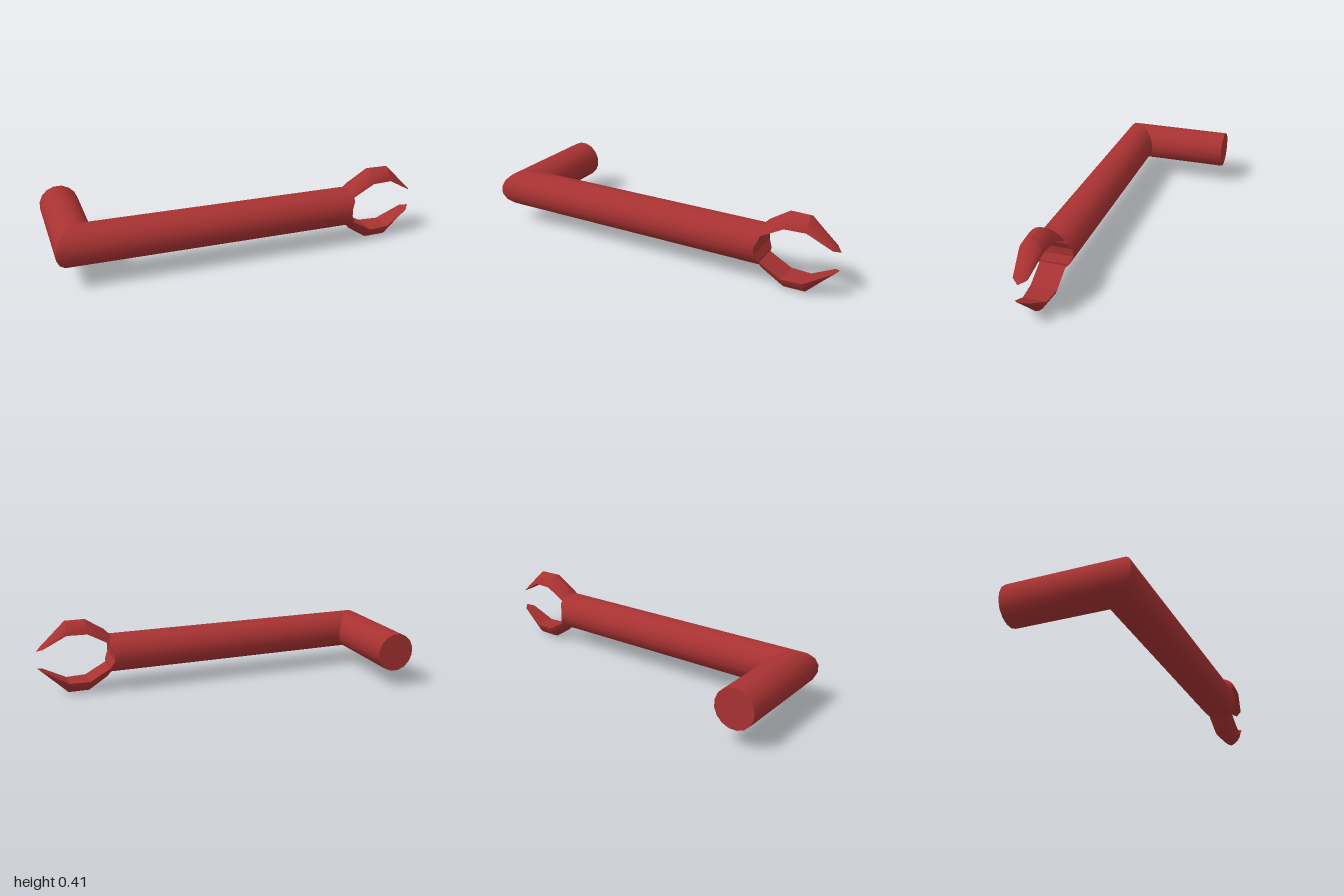
import * as THREE from 'three';
import { toCreasedNormals } from 'three/addons/utils/BufferGeometryUtils.js';

const CY = 0.205, CZ = 0.226, CX = -0.893, R = 0.107, SIDES = 16;

const toGeometry = (triangles, crease) => {
  const g = new THREE.BufferGeometry().setFromPoints(triangles);
  g.computeVertexNormals();
  return crease ? toCreasedNormals(g, crease) : g;
};

// Joins successive closed cross-sections with triangles.
function loft(rings, flip = false) {
  const out = [];
  const add = (a, b, c) => out.push(...(flip ? [a, c, b] : [a, b, c]));
  for (let i = 0; i < rings.length - 1; i++) {
    const a = rings[i], b = rings[i + 1], n = a.length;
    for (let j = 0; j < n; j++) {
      const k = (j + 1) % n;
      add(a[j], b[j], b[k]);
      add(a[j], b[k], a[k]);
    }
  }
  return out;
}

// Height profile of the hollow cut into the arm end.
function hollowX(dy) {
  const d = Math.abs(dy);
  if (d < 0.022) return 0.593;
  return d < 0.075 ? 0.593 + (d - 0.022) * 0.51 : 0.62 - (d - 0.075) * 0.55;
}

export function createModel() {
  const group = new THREE.Group();
  const red = new THREE.MeshStandardMaterial({ color: 0xa83232 });
  const add = (name, geometry) => {
    const mesh = new THREE.Mesh(geometry, red);
    mesh.name = name;
    group.add(mesh);
  };

  // Bent round bar with a mitred corner.
  const ring = (fn) => Array.from({ length: SIDES }, (_, j) => {
    const a = (j + 0.5) / SIDES * Math.PI * 2;
    const [x, z] = fn(R * Math.cos(a), R * Math.sin(a));
    return new THREE.Vector3(x, CY + R * Math.sin(a), z);
  });
  const back = ring((s) => [CX - s, -0.332]);
  const corner = ring((s) => [CX - s, CZ + s]);
  const front = ring((s, dy) => [hollowX(dy), CZ + s]);
  add('handle', toGeometry(loft([back, corner]), 0.5));
  add('arm', toGeometry(loft([corner, front]), 0.5));

  // Flat end of the handle.
  const endCap = [], centre = new THREE.Vector3(CX, CY, -0.332);
  for (let j = 0; j < SIDES; j++) endCap.push(centre, back[j], back[(j + 1) % SIDES]);
  add('handleEnd', toGeometry(endCap));

  // Hollow end of the arm, in strips across its width.
  const hollow = [], at = (j) => front[(j + SIDES) % SIDES];
  for (let j = -4; j < 3; j++) {
    const a = at(j), b = at(7 - j), c = at(6 - j), d = at(j + 1);
    hollow.push(a, b, c, a, c, d);
  }
  add('armHollow', toGeometry(hollow));

  // Claws: inner x, inner height, ridge x, ridge height, half width.
  const sections = [
    [0.59, 0.06, 0.595, 0.104, 0.07],
    [0.62, 0.075, 0.63, 0.14, 0.071],
    [0.73, 0.136, 0.73, 0.205, 0.071],
    [0.84, 0.136, 0.84, 0.205, 0.062],
    [0.97, 0.063, 0.97, 0.077, 0.037],
    [1.0, 0.048, 1.0, 0.048, 0],
  ];
  // Pointed arch from one inner edge over the ridge to the other.
  const arch = [[1, 0], [0.87, 0.33], [0.63, 0.64], [0.33, 0.88], [0, 1],
    [-0.33, 0.88], [-0.63, 0.64], [-0.87, 0.33], [-1, 0]];
  for (const side of [1, -1]) {
    const rings = sections.map(([ix, iy, rx, ry, w]) => arch.map(([u, v]) =>
      new THREE.Vector3(ix + (rx - ix) * v, CY + side * (iy + (ry - iy) * v), CZ + u * w)));
    add(side > 0 ? 'upperClaw' : 'lowerClaw', toGeometry(loft(rings, side < 0), 0.45));
  }
  return group;
}
